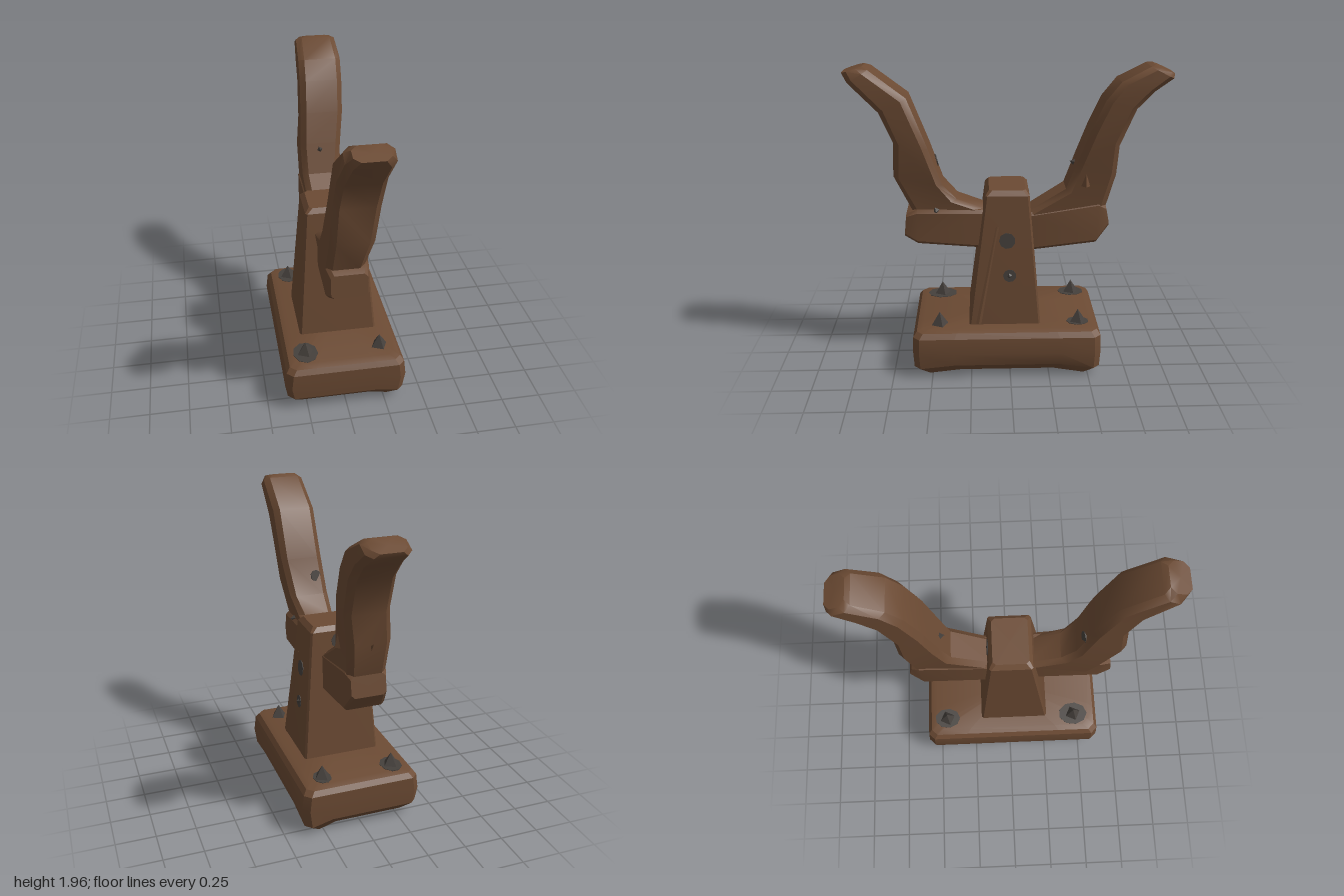
import * as THREE from 'three';
import { toCreasedNormals } from 'three/addons/utils/BufferGeometryUtils.js';

const wood = new THREE.MeshStandardMaterial({ color: 0x6b4a33 });
wood.name = 'brownWood';
const iron = new THREE.MeshStandardMaterial({ color: 0x45403c });
iron.name = 'darkIron';

const V = (x, y, z) => new THREE.Vector3(x, y, z);

// Eight corners of a rectangle with cut corners, as [u, v] pairs
function cutRect(a, b, c) {
  return [[a - c, -b], [a, c - b], [a, b - c], [a - c, b], [c - a, b], [-a, b - c], [-a, c - b], [c - a, -b]];
}

// Skin a row of rings and close both ends
function loft(rings, crease = 0.5) {
  const n = rings[0].length, tris = [];
  for (let i = 0; i + 1 < rings.length; i++) {
    for (let j = 0; j < n; j++) {
      const k = (j + 1) % n, p = rings[i], q = rings[i + 1];
      tris.push([p[j], p[k], q[k]], [p[j], q[k], q[j]]);
    }
  }
  const cap = (r, flip) => {
    const c = V(0, 0, 0);
    r.forEach((p) => c.addScaledVector(p, 1 / n));
    r.forEach((p, j) => tris.push(flip ? [c, r[(j + 1) % n], p] : [c, p, r[(j + 1) % n]]));
  };
  cap(rings[0], true);
  cap(rings[rings.length - 1], false);
  // turn all faces outward
  let volume = 0;
  tris.forEach(([a, b, c]) => { volume += a.dot(b.clone().cross(c)); });
  if (volume < 0) tris.forEach((t) => t.reverse());
  const g = new THREE.BufferGeometry().setFromPoints(tris.flat());
  g.computeVertexNormals();
  return toCreasedNormals(g, crease);
}

function add(parent, name, geometry, material) {
  const m = new THREE.Mesh(geometry, material);
  m.name = name;
  parent.add(m);
  return m;
}

// Faceted pyramid
function pyramid(radius, height) {
  const g = new THREE.ConeGeometry(radius, height, 4).toNonIndexed();
  g.computeVertexNormals();
  return g;
}

// Level ring at height y
const levelRing = (y, a, b, c, x = 0, z = 0) => cutRect(a, b, c).map(([u, v]) => V(x + u, y, z + v));

// Add two points near the ends of every side of a ring
const splitRing = (ring) => ring.flatMap((p, i) => {
  const q = ring[(i + 1) % ring.length];
  return [p, p.clone().lerp(q, 0.2), p.clone().lerp(q, 0.8)];
});

// Ring across an arm, from an inner to an outer [z, y] point
function armRing([iz, iy], [oz, oy], x, w, c) {
  const mz = (iz + oz) / 2, my = (iy + oy) / 2, h = Math.hypot(oz - iz, oy - iy) / 2;
  const dz = (oz - iz) / (2 * h), dy = (oy - iy) / (2 * h);
  return cutRect(w, h, c).map(([u, v]) => V(x + u, my + dy * v, mz + dz * v));
}

// Metal plate and stud, facing along a direction
function nail(parent, pos, dir, plate, stud, height, stretch = 1) {
  const g = new THREE.Group();
  g.name = 'nail';
  g.position.copy(pos);
  g.quaternion.setFromUnitVectors(V(0, 1, 0), dir.clone().normalize());
  if (plate) add(g, 'nailPlate', new THREE.CylinderGeometry(plate, plate, 0.006, 9), iron).scale.z = stretch;
  if (stud) {
    const spike = add(g, 'nailStud', pyramid(stud, height), iron);
    spike.position.y = height / 2 - 0.01;
    spike.rotation.y = 0.35;
  }
  parent.add(g);
}

export function createModel() {
  const model = new THREE.Group();
  model.name = 'woodenStand';

  // Hollow base: ceiling, inner wall, rim, outer wall, top
  const baseRings = [
    [0.295, 0.325, 0.54, 0.04], [0.1, 0.34, 0.56, 0.04], [0.045, 0.31, 0.53, 0.05], [0.04, 0.325, 0.545, 0.05],
    [0.095, 0.375, 0.595, 0.04], [0.18, 0.39, 0.6, 0.04], [0.28, 0.378, 0.597, 0.04], [0.312, 0.355, 0.575, 0.04],
    [0.325, 0.32, 0.535, 0.04],
  ].map(([y, a, b, c]) => splitRing(levelRing(y, a, b, c, 0, 0.02)));
  // worn feet on the left corners
  baseRings.slice(1, 5).flat().forEach((p) => {
    if (p.x > 0.23 && Math.abs(p.z) > 0.38) p.y -= p.z < 0 ? 0.034 : 0.022;
  });
  add(model, 'base', loft(baseRings), wood);

  // Tapered post
  add(model, 'post', loft([
    levelRing(0.25, 0.255, 0.235, 0.012, 0.002, 0.032),
    levelRing(0.32, 0.252, 0.23, 0.012, 0.004, 0.032),
    levelRing(1.165, 0.183, 0.138, 0.012, 0, 0.012),
    levelRing(1.195, 0.155, 0.115, 0.02, 0, 0.012),
  ]), wood);
  // Raised splinter on the post side
  add(model, 'postSplinter', loft([
    [V(0.246, 0.33, 0.24), V(0.246, 0.33, 0.16), V(0.262, 0.33, 0.2)],
    [V(0.2, 0.97, 0.085), V(0.2, 0.97, 0.065), V(0.202, 0.97, 0.075)],
  ]), wood);

  // Arms: a short beam and a curved horn; points are [z, y]
  const arms = [
    {
      name: 'frontArm',
      beam: [[[0.05, 1.05], [0.05, 0.78], 0.112], [[0.18, 1.05], [0.18, 0.795], 0.115],
        [[0.58, 1.06], [0.58, 0.835], 0.13], [[0.65, 1.03], [0.665, 0.88], 0.11]],
      horn: [[[0.13, 1.04], [0.59, 0.88], -0.015, 0.112], [[0.33, 1.115], [0.61, 1.04], -0.012, 0.118],
        [[0.42, 1.22], [0.72, 1.28], 0.005, 0.132], [[0.5, 1.46], [0.708, 1.5], 0.03, 0.14],
        [[0.62, 1.775], [0.79, 1.69], 0.04, 0.14], [[0.84, 1.945], [0.965, 1.87], 0.045, 0.135],
        [[0.875, 1.962], [1.0, 1.925], 0.045, 0.1]],
    },
    {
      name: 'backArm',
      beam: [[[-0.05, 1.03], [-0.05, 0.77], 0.112], [[-0.14, 1.03], [-0.14, 0.775], 0.115],
        [[-0.57, 1.1], [-0.555, 0.83], 0.13], [[-0.615, 1.07], [-0.64, 0.94], 0.11]],
      horn: [[[-0.12, 1.03], [-0.56, 0.9], 0.0, 0.112], [[-0.36, 1.18], [-0.61, 1.05], 0.0, 0.122],
        [[-0.43, 1.37], [-0.67, 1.28], 0.01, 0.135], [[-0.5, 1.56], [-0.68, 1.47], 0.03, 0.14],
        [[-0.585, 1.75], [-0.775, 1.7], 0.04, 0.14], [[-0.675, 1.865], [-0.88, 1.81], 0.045, 0.14],
        [[-0.85, 1.955], [-0.99, 1.885], 0.045, 0.13], [[-0.88, 1.962], [-1.0, 1.91], 0.045, 0.1]],
    },
  ];
  for (const { name, beam, horn } of arms) {
    const arm = new THREE.Group();
    arm.name = name;
    add(arm, 'beam', loft(beam.map(([i, o, w]) => armRing(i, o, 0, w, 0.02))), wood);
    add(arm, 'horn', loft(horn.map(([i, o, x, w]) => armRing(i, o, x, w, 0.036)), 0.6), wood);
    model.add(arm);
  }

  // Splinters on the back arm: [x, y, z, radius, height, tilt]
  for (const [x, y, z, r, h, tilt] of [[0.108, 1.32, -0.48, 0.05, 0.22, 0], [0.0, 1.25, -0.64, 0.05, 0.12, -0.9]]) {
    const s = add(model, 'splinter', pyramid(r, h), wood);
    s.position.set(x, y, z);
    s.rotation.x = tilt;
  }

  // Nails on the base: [x, z, plate radius]
  const up = V(0, 1, 0);
  for (const [x, z, plate] of [[-0.24, 0.45, 0.08], [-0.24, -0.44, 0.07], [0.225, -0.44, 0.058], [0.24, 0.45, 0]]) {
    nail(model, V(x, 0.325, z), up, plate, 0.062, 0.095, 1.25);
  }
  // Nail end under the base
  nail(model, V(-0.23, 0.293, 0.44), V(0, -1, 0), 0.08, 0.04, 0.03);

  // Nails on the post and arms
  const side = V(1, 0.08, 0);
  nail(model, V(0.208, 0.88, 0.015), side, 0.052, 0, 0);
  nail(model, V(0.227, 0.65, 0), side, 0.042, 0.03, 0.03);
  nail(model, V(0, 1.1, -0.132), V(0, 0.1, -1), 0.052, 0, 0);
  nail(model, V(-0.05, 1.34, 0.458), V(-0.2, 0.2, -1), 0.038, 0, 0);
  nail(model, V(0, 1.33, -0.42), V(0, 0.3, 1), 0, 0.028, 0.045);
  nail(model, V(0.112, 1.05, 0.46), V(1, 0, 0), 0, 0.025, 0.035);

  return model;
}
